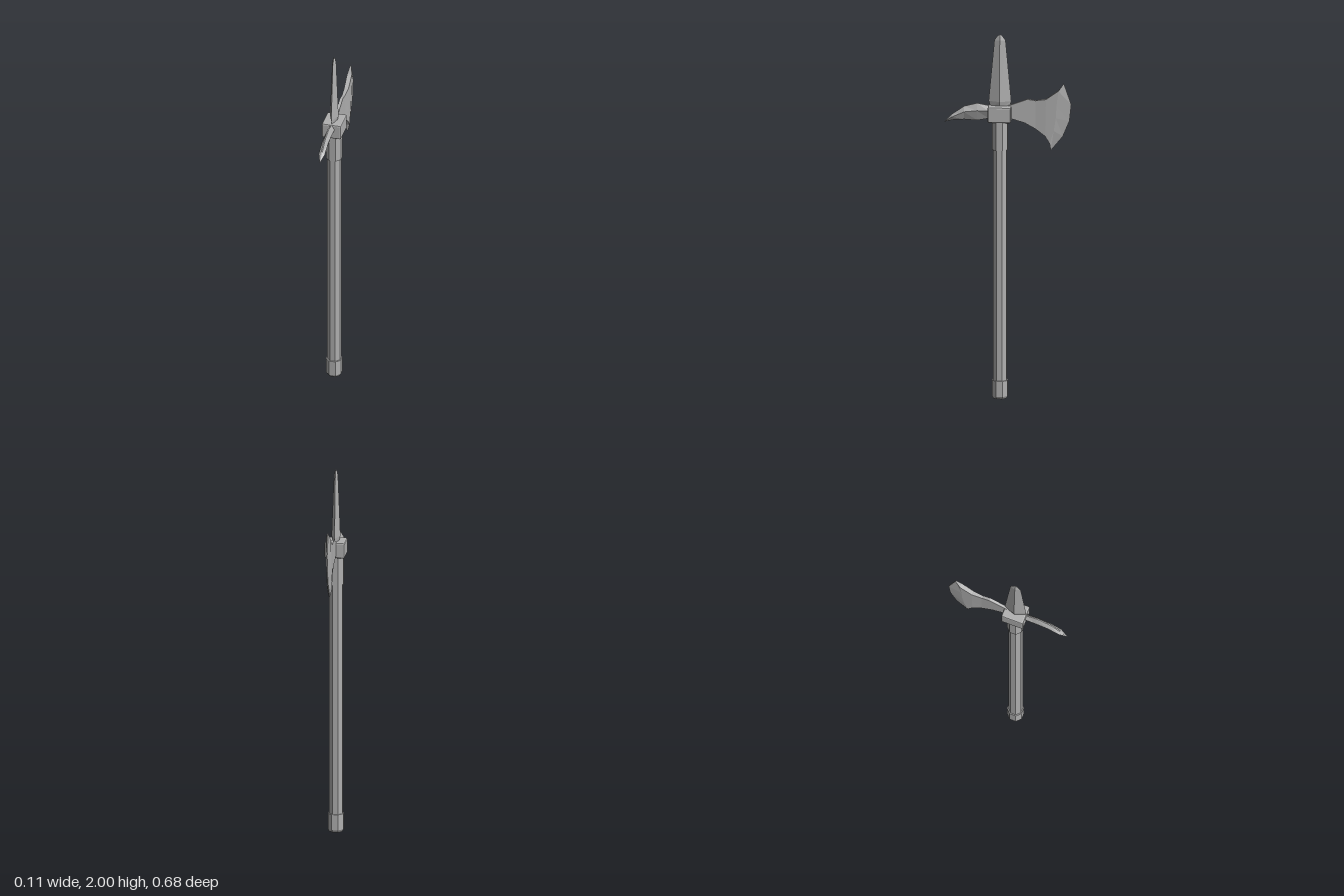
import * as THREE from 'three';
import { RoundedBoxGeometry } from 'three/addons/geometries/RoundedBoxGeometry.js';

const AXIS_Z = 0.043; // the shaft stands slightly in front of the centre

// Faceted normals for every face
function faceted(geometry) {
  const g = geometry.index ? geometry.toNonIndexed() : geometry;
  g.computeVertexNormals();
  return g;
}

// Joins closed rings of [x, y, z], counter-clockwise as seen from the far end
function loft(rings) {
  const n = rings[0].length, pos = [];
  const tri = (a, b, c) => pos.push(...a, ...b, ...c);
  for (let r = 0; r < rings.length - 1; r++) {
    const a = rings[r], b = rings[r + 1];
    for (let i = 0; i < n; i++) {
      const j = (i + 1) % n;
      tri(a[i], a[j], b[j]);
      tri(a[i], b[j], b[i]);
    }
  }
  // Caps as strips between opposite sides of the ring
  const cap = (ring, flip) => {
    const face = (i, j, k) => {
      if (i === j || j === k || i === k) return;
      if (flip) tri(ring[i], ring[k], ring[j]);
      else tri(ring[i], ring[j], ring[k]);
    };
    for (let i = 0; i < Math.floor(n / 2); i++) {
      face(i, i + 1, n - 2 - i);
      face(i, n - 2 - i, n - 1 - i);
    }
  };
  cap(rings[0], true);
  cap(rings[rings.length - 1], false);
  const g = new THREE.BufferGeometry();
  g.setAttribute('position', new THREE.Float32BufferAttribute(pos, 3));
  return faceted(g);
}

// Octagonal post from [apothem, y] pairs
function octagon(profile) {
  const k = 1 / Math.cos(Math.PI / 8);
  const points = profile.map(([r, y]) => new THREE.Vector2(r * k, y));
  return faceted(new THREE.LatheGeometry(points, 8, Math.PI / 8))
    .translate(0, 0, AXIS_Z);
}

export function createModel() {
  const steel = new THREE.MeshStandardMaterial({ color: 0xb0b0b0 });
  steel.name = 'grey steel';
  const model = new THREE.Group();
  model.name = 'halberd';
  const add = (name, geometry) => {
    const mesh = new THREE.Mesh(geometry, steel);
    mesh.name = name;
    model.add(mesh);
    return mesh;
  };

  // Shaft with its foot cap and upper socket
  add('shaft', octagon([[0, 0.05], [0.036, 0.05], [0.036, 1.54], [0, 1.54]]));
  add('footCap', octagon([[0, 0], [0.034, 0], [0.042, 0.014], [0.042, 0.1], [0, 0.1]]));
  add('socket', octagon([[0, 1.37], [0.042, 1.37], [0.042, 1.54], [0, 1.54]]));

  // Bevelled block that holds the head
  add('headBlock', faceted(new RoundedBoxGeometry(0.108, 0.086, 0.125, 1, 0.008)))
    .position.set(0, 1.568, AXIS_Z);

  // Diamond-section top spike: [y, half x, half z]
  const spike = [
    [1.6, 0.016, 0.05], [1.635, 0.024, 0.061], [1.97, 0.011, 0.03],
    [1.993, 0.006, 0.014], [2, 0.002, 0.006],
  ];
  add('topSpike', loft(spike.map(([y, x, z]) => [
    [x, y, AXIS_Z], [0, y, AXIS_Z - z], [-x, y, AXIS_Z], [0, y, AXIS_Z + z],
  ])));

  // Curved beak: [z, top y, ridge y, bottom y, half width]
  const beak = [
    [0.06, 1.6, 1.583, 1.54, 0.018], [0.105, 1.61, 1.583, 1.538, 0.018],
    [0.165, 1.621, 1.583, 1.526, 0.018], [0.235, 1.603, 1.575, 1.53, 0.018],
    [0.3, 1.558, 1.545, 1.525, 0.017], [0.34, 1.517, 1.516, 1.514, 0.001],
  ];
  add('beak', loft(beak.map(([z, top, ridge, bottom, w]) => {
    const t = Math.min(w, 0.003);
    return [[w, ridge, z], [t, top, z], [-t, top, z], [-w, ridge, z], [0, bottom, z]];
  })));

  // Axe blade: columns of five [z, y] points from bottom to top, with half thickness
  const straight = (z0, y0, z1, y1) => [0, 0.25, 0.5, 0.75, 1].map(
    (t) => [z0 + (z1 - z0) * t, y0 + (y1 - y0) * t]);
  const blade = [
    [0.008, straight(0.01, 1.545, 0.01, 1.61)],
    [0.008, straight(-0.02, 1.54, -0.02, 1.618)],
    [0.008, straight(-0.09, 1.52, -0.105, 1.65)],
    [0.008, straight(-0.15, 1.487, -0.148, 1.643)],
    [0.012, straight(-0.2, 1.45, -0.205, 1.652)],
    [0.013, [[-0.225, 1.41], [-0.247, 1.48], [-0.258, 1.55], [-0.262, 1.62], [-0.272, 1.7]]],
    [0.003, [[-0.23, 1.37], [-0.295, 1.45], [-0.33, 1.535], [-0.34, 1.625], [-0.3, 1.74]]],
  ];
  add('axeBlade', loft(blade.map(([t, column]) => [
    ...column.map(([z, y]) => [-t, y, z]),
    ...column.map(([z, y]) => [t, y, z]).reverse(),
  ])));

  return model;
}
